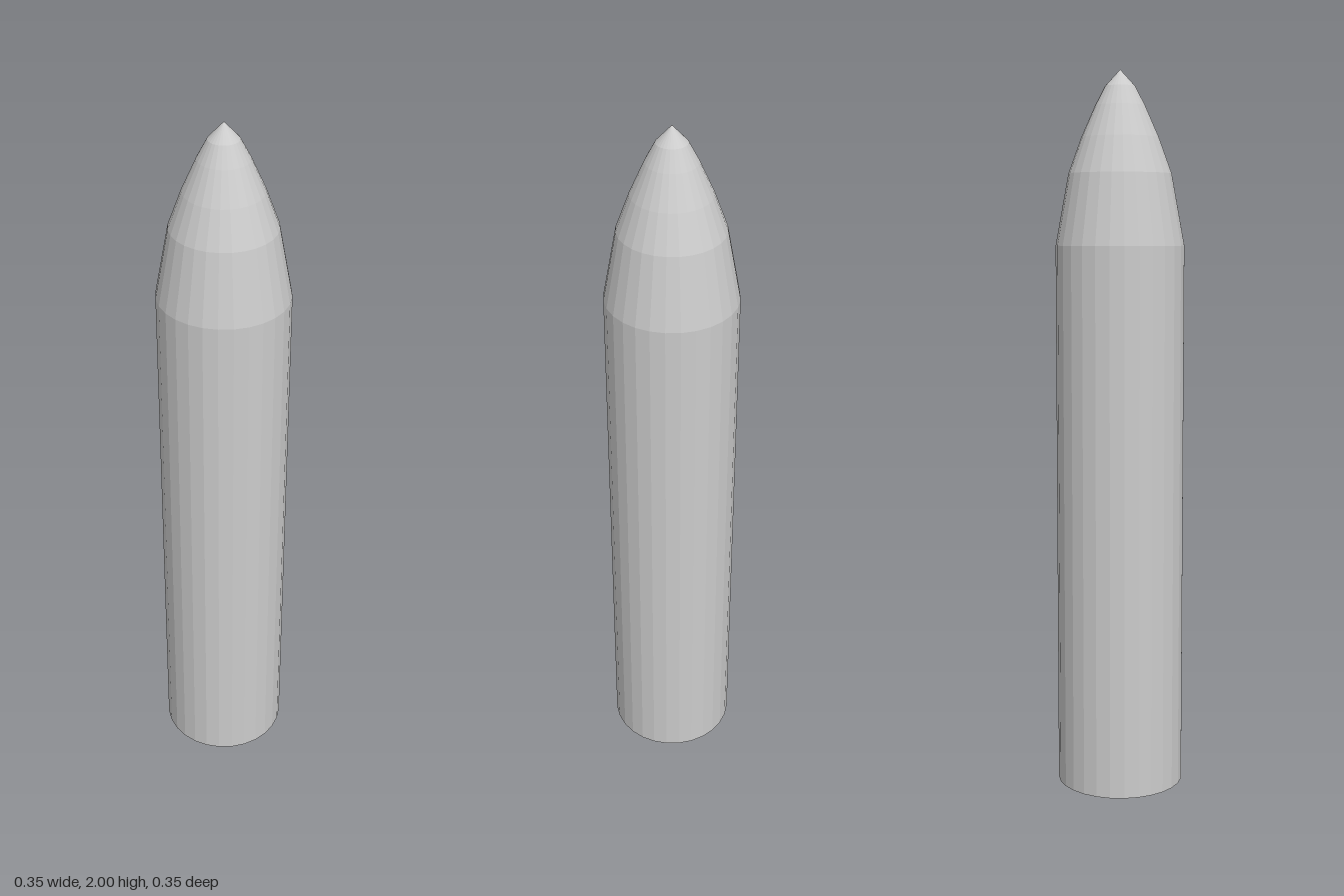
import * as THREE from 'three';

const SEGMENTS = 28;

// Turns a list of [radius, height] pairs into a faceted solid of revolution
function turned(name, profile) {
  const points = profile.map(([r, y]) => new THREE.Vector2(r, y));
  const geometry = new THREE.LatheGeometry(points, SEGMENTS, Math.PI / SEGMENTS);
  const material = new THREE.MeshStandardMaterial({ color: 0xcccccc, flatShading: true });
  const mesh = new THREE.Mesh(geometry, material);
  mesh.name = name;
  return mesh;
}

export function createModel() {
  const group = new THREE.Group();
  group.name = 'rocketBody';

  // Shallow round recess in the underside, from its ceiling down to the rim
  group.add(turned('baseRecess', [[0, 0.083], [0.156, 0.083], [0.156, 0]]));

  // Flat ring the body stands on
  group.add(turned('baseRim', [[0.156, 0], [0.178, 0]]));

  // Straight cylindrical body
  group.add(turned('body', [[0.178, 0], [0.178, 1.527]]));

  // Nose curving in to a point
  group.add(turned('nose', [
    [0.178, 1.527], [0.142, 1.722], [0.106, 1.82],
    [0.068, 1.905], [0.041, 1.956], [0, 2],
  ]));

  return group;
}
